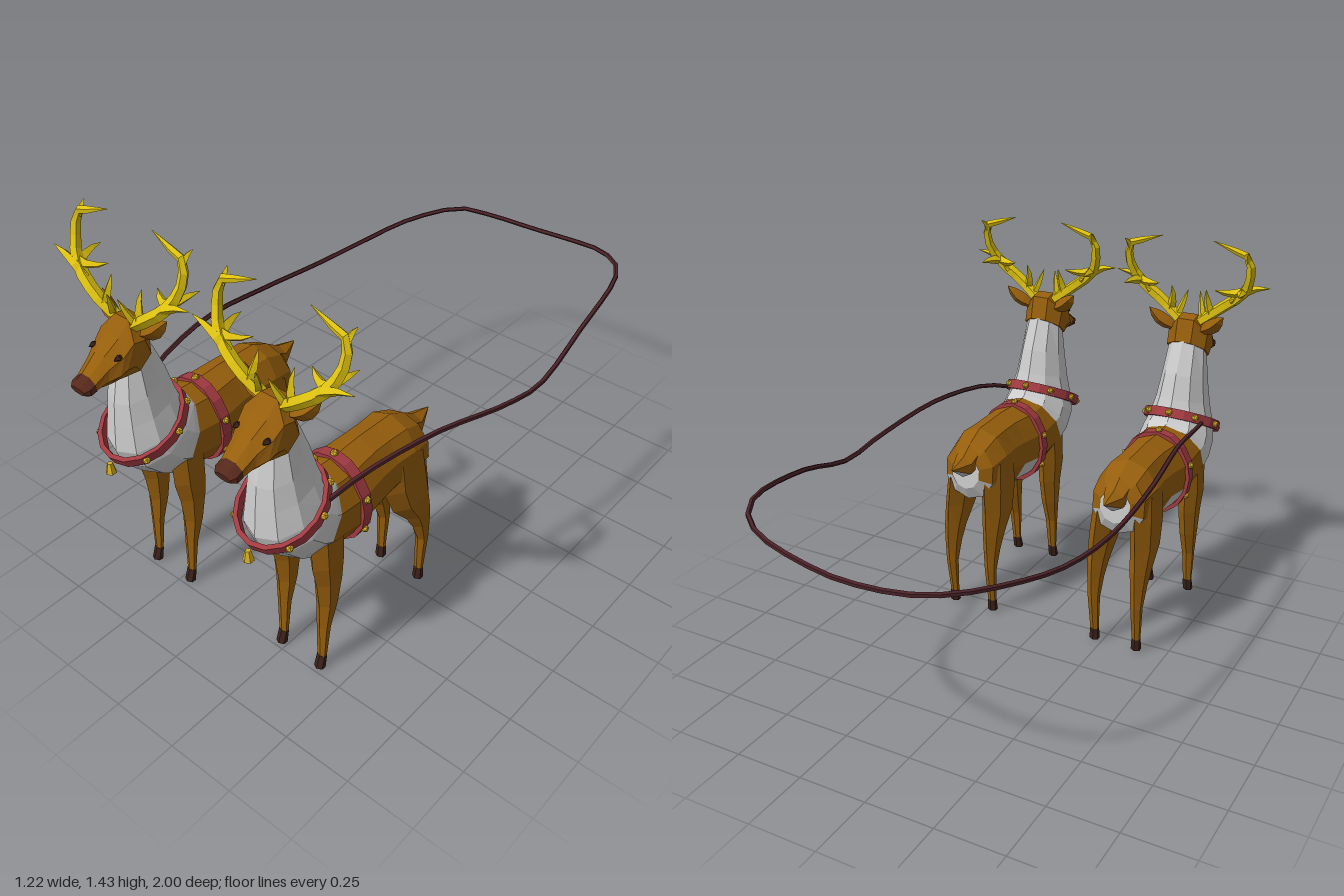
import * as THREE from 'three';

const mat = (color, side = THREE.FrontSide) => new THREE.MeshStandardMaterial({ color, flatShading: true, side });
const brown = mat(0x965e0c), white = mat(0xcccccc), dark = mat(0x3a2018), snout = mat(0x55281a);
const red = mat(0xa03a40), gold = mat(0xd8b020), horn = mat(0xdcc010, THREE.DoubleSide), leather = mat(0x4a2228, THREE.DoubleSide);

function add(parent, name, geometry, material, pos = [0, 0, 0]) {
  const mesh = new THREE.Mesh(geometry, material);
  mesh.name = name;
  mesh.position.set(...pos);
  parent.add(mesh);
  return mesh;
}

// Skin over elliptic rings. Ring: [zA, yA, zB, yB, halfWidth, centreX]; A and B are opposite points in the yz plane.
// keep(i, j) chooses faces; i = -1 is the first cap, i = rings - 1 the last cap.
function loft(rings, sides = 8, phase = 0, keep = () => true) {
  const grow = phase ? 1 / Math.cos(Math.PI / sides) : 1;
  const pts = rings.map(([za, ya, zb, yb, hw, cx = 0]) => Array.from({ length: sides }, (_, j) => {
    const a = (j + phase) / sides * Math.PI * 2, c = Math.cos(a) * grow / 2;
    return new THREE.Vector3(cx + Math.sin(a) * hw * grow, (ya + yb) / 2 + c * (ya - yb), (za + zb) / 2 + c * (za - zb));
  }));
  const mids = rings.map(([za, ya, zb, yb, , cx = 0]) => new THREE.Vector3(cx, (ya + yb) / 2, (za + zb) / 2));
  const n = rings.length, tris = [];
  for (let j = 0; j < sides; j++) {
    const k = (j + 1) % sides;
    tris.push([-1, j, mids[0], pts[0][k], pts[0][j]], [n - 1, j, mids[n - 1], pts[n - 1][j], pts[n - 1][k]]);
    for (let i = 0; i < n - 1; i++) {
      const [a, b, c, d] = [pts[i][j], pts[i][k], pts[i + 1][k], pts[i + 1][j]];
      tris.push([i, j, a, b, c], [i, j, a, c, d]);
    }
  }
  // the sign of the volume tells which way the faces look
  const vol = tris.reduce((s, [, , a, b, c]) => s + a.dot(b.clone().cross(c)), 0);
  const out = [];
  for (const [i, j, a, b, c] of tris) if (keep(i, j)) out.push(a, ...(vol > 0 ? [b, c] : [c, b]));
  const g = new THREE.BufferGeometry().setFromPoints(out);
  g.computeVertexNormals();
  return g;
}

// Tube along a curve whose radius follows a list
function taper(points, radii, sides = 5, steps = 8) {
  const curve = new THREE.CatmullRomCurve3(points.map(p => new THREE.Vector3(...p)));
  const g = new THREE.TubeGeometry(curve, steps, 1, sides), pos = g.attributes.position, v = new THREE.Vector3();
  for (let i = 0; i <= steps; i++) {
    const c = curve.getPointAt(i / steps), f = i / steps * (radii.length - 1), k = Math.min(Math.floor(f), radii.length - 2);
    const r = THREE.MathUtils.lerp(radii[k], radii[k + 1], f - k);
    for (let j = 0; j <= sides; j++) {
      const id = i * (sides + 1) + j;
      v.fromBufferAttribute(pos, id).sub(c).multiplyScalar(r).add(c);
      pos.setXYZ(id, v.x, v.y, v.z);
    }
  }
  g.computeVertexNormals();
  return g;
}

// Strap ring with studs at the given angles
function strap(parent, name, rx, rz, half, pos, tilt, studs) {
  const group = new THREE.Group();
  group.name = name;
  group.position.set(...pos);
  group.rotation.x = tilt;
  const profile = [[0.9, -half], [1, -half], [1, half], [0.9, half], [0.9, -half]].map(p => new THREE.Vector2(...p));
  add(group, name + 'Band', new THREE.LatheGeometry(profile, 16).scale(rx, 1, rz), red);
  for (const deg of studs) {
    const a = deg * Math.PI / 180;
    add(group, 'stud', new THREE.IcosahedronGeometry(0.014, 0), gold, [Math.sin(a) * rx, 0, Math.cos(a) * rz]);
  }
  parent.add(group);
}

function makeDeer() {
  const deer = new THREE.Group();
  deer.name = 'deer';

  // neck and chest
  add(deer, 'neckAndChest', loft([
    [0.85, 0.945, 0.73, 1.04, 0.074], [0.875, 0.84, 0.68, 0.92, 0.088], [0.885, 0.76, 0.655, 0.83, 0.102],
    [0.895, 0.66, 0.635, 0.775, 0.122], [0.87, 0.59, 0.615, 0.752, 0.136], [0.8, 0.515, 0.605, 0.747, 0.14],
    [0.74, 0.475, 0.6, 0.743, 0.134]], 10), white);

  // torso with pale belly and rump
  const torso = [[0.6, 0.743, 0.74, 0.475, 0.134], [0.53, 0.738, 0.56, 0.435, 0.13], [0.42, 0.742, 0.42, 0.445, 0.114],
    [0.34, 0.738, 0.36, 0.46, 0.112], [0.26, 0.735, 0.28, 0.47, 0.12], [0.19, 0.7, 0.17, 0.48, 0.105],
    [0.155, 0.66, 0.145, 0.53, 0.06]];
  const pale = (i, j) => {
    const low = j >= 3 && j <= 6;
    return i === 6 || (low && (i === 1 || i >= 4)) || (i >= 0 && i < 4 && (j === 4 || j === 5));
  };
  add(deer, 'torso', loft(torso, 10, 0, (i, j) => !pale(i, j)), brown);
  add(deer, 'bellyAndRump', loft(torso, 10, 0, pale), white);

  // tail, pale underneath
  const tail = [[0.2, 0.705, 0.165, 0.595, 0.055], [0.135, 0.662, 0.13, 0.585, 0.042], [0.055, 0.641, 0.056, 0.637, 0.003]];
  const under = (i, j) => j >= 2 && j <= 3;
  add(deer, 'tailTop', loft(tail, 6, 0, (i, j) => !under(i, j)), brown);
  add(deer, 'tailUnderside', loft(tail, 6, 0, under), white);

  // head and nose
  add(deer, 'head', loft([[0.73, 1.035, 0.85, 0.945, 0.076], [0.75, 1.12, 0.865, 0.945, 0.078],
    [0.8, 1.13, 0.885, 0.945, 0.076], [0.845, 1.085, 0.9, 0.945, 0.07], [0.9, 1.045, 0.93, 0.945, 0.051],
    [0.965, 0.997, 0.96, 0.945, 0.041]], 8, 0.5), brown);
  add(deer, 'nose', loft([[0.962, 1, 0.957, 0.942, 0.042], [0.985, 0.99, 0.98, 0.94, 0.042],
    [1, 0.975, 0.995, 0.95, 0.03]], 8, 0.5), snout);

  for (const s of [-1, 1]) {
    const flip = pts => pts.map(([x, y, z]) => [x * s, y, z]);
    const side = s > 0 ? 'left' : 'right';

    const eye = add(deer, side + 'Eye', new THREE.OctahedronGeometry(0.016), dark, [s * 0.058, 1.043, 0.876]);
    eye.scale.set(0.8, 0.8, 1.2);
    add(deer, side + 'Ear', taper(flip([[0.06, 1.08, 0.775], [0.105, 1.105, 0.765], [0.147, 1.148, 0.748]]),
      [0.018, 0.03, 0.025, 0.001], 4, 4), brown);

    // antler: main beam and tines
    add(deer, side + 'AntlerBeam', taper(flip([[0.03, 1.1, 0.785], [0.115, 1.165, 0.8], [0.2, 1.235, 0.785],
      [0.235, 1.305, 0.755], [0.23, 1.385, 0.735], [0.18, 1.405, 0.732], [0.098, 1.433, 0.725]]),
      [0.02, 0.022, 0.022, 0.019, 0.016, 0.012, 0.001], 5, 12), horn);
    const tines = [
      [[0.16, 1.2, 0.79], [0.22, 1.25, 0.795], [0.302, 1.268, 0.79], 0.02],
      [[0.2, 1.24, 0.78], [0.215, 1.25, 0.73], [0.222, 1.25, 0.675], 0.018],
      [[0.21, 1.245, 0.78], [0.165, 1.235, 0.77], [0.11, 1.248, 0.74], 0.018],
      [[0.08, 1.14, 0.795], [0.068, 1.19, 0.785], [0.068, 1.238, 0.765], 0.017],
      [[0.05, 1.12, 0.79], [0.035, 1.17, 0.81], [0.024, 1.213, 0.825], 0.014],
      [[0.23, 1.37, 0.738], [0.23, 1.39, 0.725], [0.238, 1.41, 0.7], 0.014]];
    for (const [a, b, c, r] of tines) add(deer, side + 'AntlerTine', taper(flip([a, b, c]), [r, r * 0.85, 0.001], 4, 3), horn);

    // legs and hooves
    const at = rings => rings.map(([za, ya, zb, yb, hw, cx]) => [za, ya, zb, yb, hw, cx * s]);
    add(deer, side + 'FrontLeg', loft(at([[0.75, 0.58, 0.6, 0.6, 0.042, 0.088], [0.747, 0.46, 0.61, 0.47, 0.045, 0.089],
      [0.73, 0.38, 0.62, 0.385, 0.04, 0.088], [0.72, 0.28, 0.645, 0.28, 0.034, 0.087],
      [0.72, 0.18, 0.68, 0.18, 0.025, 0.086], [0.723, 0.05, 0.7, 0.05, 0.018, 0.085]]), 6), brown);
    add(deer, side + 'FrontHoof', loft(at([[0.724, 0.05, 0.699, 0.05, 0.019, 0.085], [0.742, 0.005, 0.707, 0, 0.02, 0.085]]), 6), dark);
    add(deer, side + 'HindLeg', loft(at([[0.38, 0.62, 0.17, 0.62, 0.045, 0.07], [0.375, 0.5, 0.157, 0.52, 0.048, 0.075],
      [0.34, 0.41, 0.153, 0.43, 0.045, 0.082], [0.27, 0.33, 0.15, 0.34, 0.036, 0.085], [0.235, 0.27, 0.153, 0.27, 0.029, 0.086],
      [0.205, 0.19, 0.16, 0.19, 0.023, 0.086], [0.207, 0.05, 0.182, 0.05, 0.017, 0.085]]), 6), brown);
    add(deer, side + 'HindHoof', loft(at([[0.208, 0.05, 0.181, 0.05, 0.018, 0.085], [0.216, 0.005, 0.18, 0.005, 0.02, 0.085]]), 6), dark);
  }

  // harness
  strap(deer, 'collar', 0.146, 0.163, 0.018, [0, 0.712, 0.772], 0.484, [50, 100, 140, 180, 220, 260, 310]);
  strap(deer, 'girth', 0.138, 0.165, 0.02, [0, 0.584, 0.535], Math.PI / 2, [0, 62, 107, 180, 253, 298]);
  add(deer, 'bell', new THREE.CylinderGeometry(0.009, 0.019, 0.038, 6), gold, [0, 0.612, 0.925]);
  return deer;
}

export function createModel() {
  const model = new THREE.Group();
  model.name = 'deerTeam';
  for (const [name, x] of [['rightDeer', -0.303], ['leftDeer', 0.311]]) {
    const deer = makeDeer();
    deer.name = name;
    deer.position.x = x;
    model.add(deer);
  }

  // one long rein looping behind both animals
  add(model, 'reins', taper([[-0.41, 0.74, 0.7], [-0.45, 0.785, 0.5], [-0.47, 0.805, 0.3], [-0.492, 0.765, 0],
    [-0.49, 0.732, -0.3], [-0.46, 0.735, -0.55], [-0.4, 0.76, -0.75], [-0.28, 0.778, -0.93], [-0.16, 0.77, -0.975],
    [0.04, 0.77, -0.993], [0.18, 0.785, -0.985], [0.36, 0.812, -0.95], [0.47, 0.825, -0.875], [0.525, 0.833, -0.77],
    [0.57, 0.795, -0.47], [0.588, 0.725, -0.2], [0.58, 0.75, 0], [0.525, 0.795, 0.3], [0.465, 0.78, 0.57],
    [0.43, 0.74, 0.7]], [0.009, 0.009], 5, 48), leather);
  return model;
}
